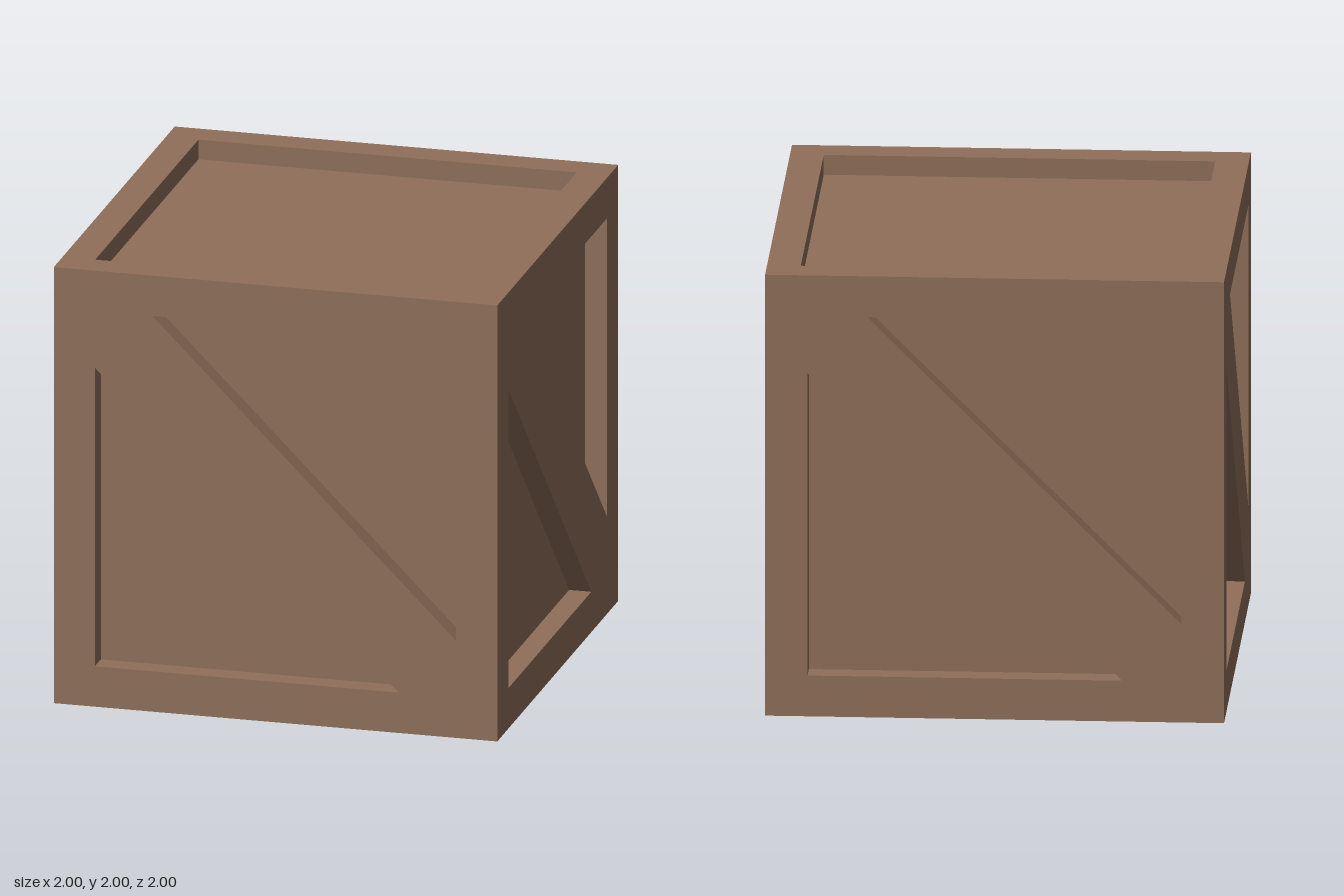
import * as THREE from 'three';
import { mergeGeometries } from 'three/addons/utils/BufferGeometryUtils.js';

const wood = new THREE.MeshStandardMaterial({ color: 0x8f6f59, flatShading: true });

const toPoints = (list) => list.map(([x, y]) => new THREE.Vector2(x, y));
const square = (h) => toPoints([[-h, -h], [h, -h], [h, h], [-h, h]]);

// Inner walls of a recess; the outline runs counter-clockwise
function recessWalls(outline, depth) {
  const pos = [];
  outline.forEach((a, i) => {
    const b = outline[(i + 1) % outline.length];
    pos.push(a.x, a.y, 0, b.x, b.y, 0, b.x, b.y, -depth);
    pos.push(a.x, a.y, 0, b.x, b.y, -depth, a.x, a.y, -depth);
  });
  const geo = new THREE.BufferGeometry();
  geo.setAttribute('position', new THREE.Float32BufferAttribute(pos, 3));
  geo.computeVertexNormals();
  return geo;
}

// One cube face: a frame with recesses, and the boards sunk behind it
function crateFace(name, outlines, depth) {
  const face = new THREE.Group();
  face.name = name;

  const shape = new THREE.Shape(square(1));
  shape.holes = outlines.map((o) => new THREE.Path(o));
  const front = new THREE.ShapeGeometry(shape).toNonIndexed();
  front.deleteAttribute('uv');
  const frame = new THREE.Mesh(
    mergeGeometries([front, ...outlines.map((o) => recessWalls(o, depth))]), wood);
  frame.name = name + 'Frame';
  face.add(frame);

  outlines.forEach((o) => {
    const board = new THREE.Mesh(new THREE.ShapeGeometry(new THREE.Shape(o)), wood);
    board.name = name + 'Board';
    board.position.z = -depth;
    face.add(board);
  });
  return face;
}

export function createModel() {
  const crate = new THREE.Group();
  crate.name = 'crate';

  // Four sides, each with a diagonal brace between two triangular recesses
  const upper = [[0.815, -0.555], [0.815, 0.815], [-0.555, 0.815]];
  const lower = upper.map(([x, y]) => [-x, -y]);
  ['front', 'left', 'back', 'right'].forEach((name, i) => {
    const side = crateFace(name + 'Side', [toPoints(upper), toPoints(lower)], 0.1);
    const angle = (i * Math.PI) / 2;
    side.rotation.y = angle;
    side.position.set(Math.sin(angle), 1, Math.cos(angle));
    crate.add(side);
  });

  // Lid with a square recess
  const lid = crateFace('lid', [square(0.853)], 0.09);
  lid.rotation.x = -Math.PI / 2;
  lid.position.y = 2;
  crate.add(lid);

  // Plain base
  const base = crateFace('base', [], 0);
  base.rotation.x = Math.PI / 2;
  crate.add(base);

  return crate;
}
